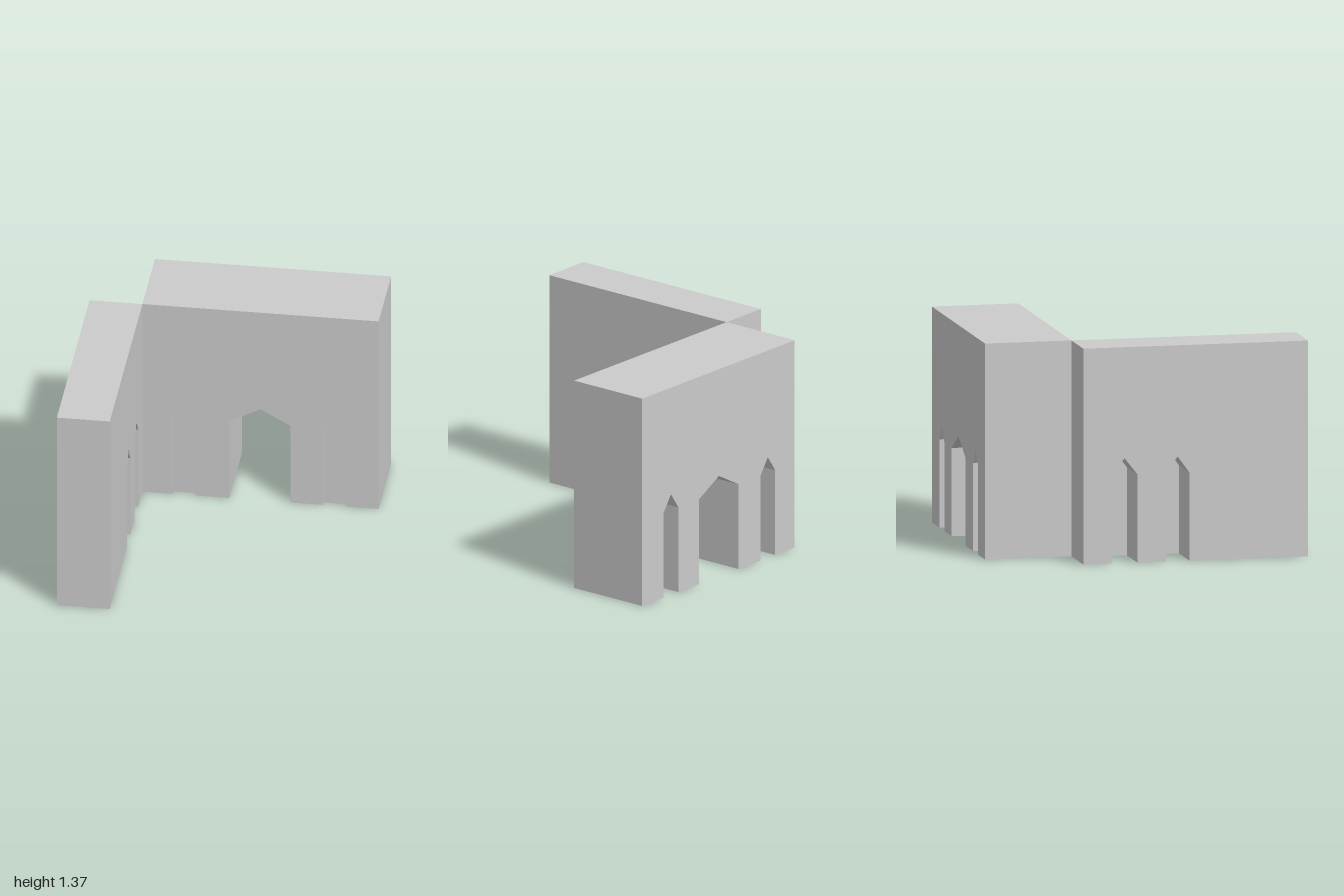
import * as THREE from 'three';

const HEIGHT = 1.37, SPRING = 0.56, PEAK = 0.665;
const RECESS = 0.03, PANEL = 0.008;

const material = new THREE.MeshStandardMaterial({ color: 0xcccccc, flatShading: true });

// Pointed outline of an opening, from its left foot to its right foot
function archPoints({ at, width }) {
  const h = width / 2;
  return [[at - h, 0], [at - h, SPRING], [at, PEAK], [at + h, SPRING], [at + h, 0]];
}

function extrude(points, depth, z, name) {
  const shape = new THREE.Shape(points.map(([x, y]) => new THREE.Vector2(x, y)));
  const geometry = new THREE.ExtrudeGeometry(shape, { depth, bevelEnabled: false });
  geometry.translate(0, 0, z);
  const mesh = new THREE.Mesh(geometry, material);
  mesh.name = name;
  return mesh;
}

// Wall with openings cut up from its base, running from z = 0 to z = depth.
// Closed openings get a thin panel, set at panelZ.
function wall(name, from, to, depth, openings, panelZ) {
  const group = new THREE.Group();
  group.name = name;
  const outline = [[from, 0], ...openings.flatMap(archPoints), [to, 0], [to, HEIGHT], [from, HEIGHT]];
  group.add(extrude(outline, depth, 0, name + 'Body'));
  openings.filter(o => o.closed).forEach((o, i) =>
    group.add(extrude(archPoints(o), PANEL, panelZ, `${name}WindowPanel${i + 1}`)));
  return group;
}

export function createModel() {
  const model = new THREE.Group();
  model.name = 'cornerWalls';

  // Back wall: a doorway between two narrow windows
  const depth = 0.555;
  const back = wall('backWall', -0.58, 0.915, depth, [
    { at: -0.316, width: 0.145, closed: true },
    { at: 0.164, width: 0.387 },
    { at: 0.633, width: 0.145, closed: true },
  ], depth - RECESS - PANEL);
  back.position.z = -1;
  model.add(back);

  // Side wing: two narrow windows, turned so its length runs along z
  const wing = wall('sideWing', -0.445, 1, 0.335, [
    { at: -0.18, width: 0.165, closed: true },
    { at: 0.161, width: 0.152, closed: true },
  ], RECESS);
  wing.rotation.y = -Math.PI / 2;
  wing.position.x = -0.58;
  model.add(wing);

  return model;
}
